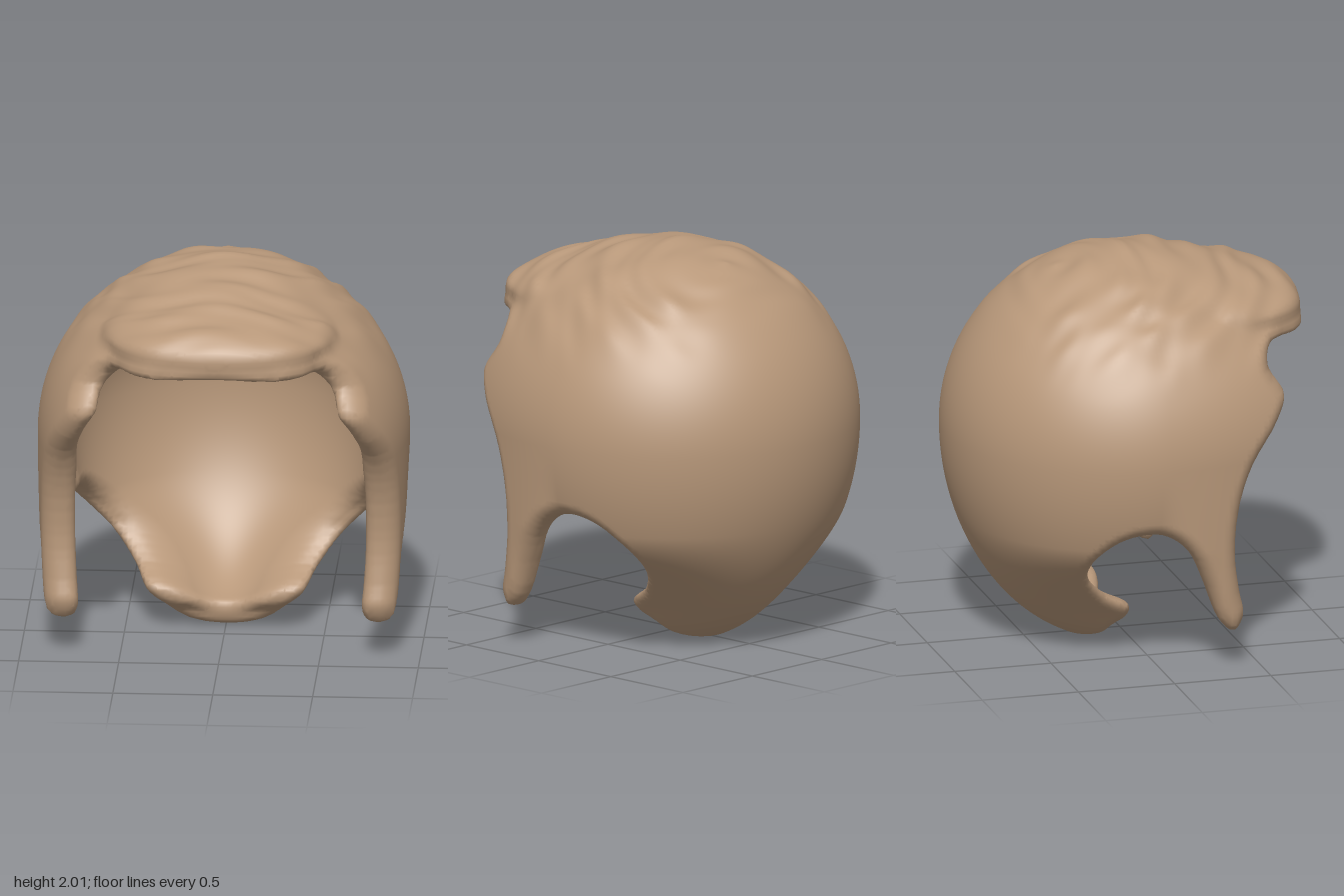
import * as THREE from 'three';

const C = new THREE.Vector3(0, 1.08, 0); // centre of the head
const WALL = 0.17, ROUND = 0.07;
const smooth = THREE.MathUtils.smoothstep, mix = THREE.MathUtils.lerp;

// Side outline (z, y): fringe, temple, sideburn, ear arch, nape, then wide around the back
const outline = new THREE.CatmullRomCurve3([
  [0.91, 1.7], [0.86, 1.6], [0.62, 1.585], [0.585, 1.5], [0.66, 1.36], [0.6, 1.24], [0.46, 1.06],
  [0.38, 0.85], [0.355, 0.6], [0.38, 0.4], [0.405, 0.27], [0.35, 0.19], [0.28, 0.25], [0.2, 0.45],
  [0.12, 0.62], [0.02, 0.71], [-0.1, 0.73], [-0.23, 0.69], [-0.33, 0.58], [-0.335, 0.46],
  [-0.22, 0.32], [-0.06, 0.22], [-0.06, 0.15], [-0.11, 0.09], [-0.14, 0.02], [-0.24, -0.04],
  [-0.5, -0.1], [-1.2, -0.1], [-1.2, 1], [-1.2, 2.2], [0, 2.2], [0.6, 2.1], [0.84, 1.87],
].map(([z, y]) => new THREE.Vector3(z, y, 0)), true, 'centripetal').getPoints(120);

// Signed distance to the side outline, negative inside
function outlineDistance(z, y) {
  let best = Infinity, inside = false;
  for (let i = 0; i < outline.length - 1; i++) {
    const a = outline[i], b = outline[i + 1];
    const ex = b.x - a.x, ey = b.y - a.y, px = z - a.x, py = y - a.y;
    const t = Math.min(1, Math.max(0, (px * ex + py * ey) / (ex * ex + ey * ey || 1)));
    best = Math.min(best, (px - t * ex) ** 2 + (py - t * ey) ** 2);
    if ((a.y > y) !== (b.y > y) && z < a.x + ex * (y - a.y) / ey) inside = !inside;
  }
  return (inside ? -1 : 1) * Math.sqrt(best);
}

function ellipsoid(x, y, z, rx, ry, rz) {
  const k = Math.hypot(x / rx, y / ry, z / rz);
  const g = Math.hypot(x / rx ** 2, y / ry ** 2, z / rz ** 2);
  return g < 1e-6 ? -Math.min(rx, ry, rz) : k * (k - 1) / g;
}

function smoothMin(a, b, k) {
  const h = Math.max(k - Math.abs(a - b), 0) / k;
  return Math.min(a, b) - h * h * k / 4;
}

// Soft broken locks: rings round the crown that loosen into rows above the fringe
function locks(x, y, z) {
  const r = Math.hypot(x, z + 0.35);
  const rows = Math.sin(33 * r + 1.5 * Math.cos(8 * x) + 1.2) * (0.6 + 0.4 * Math.cos(9 * x + 5 * Math.sin(6 * z)));
  const lumps = Math.cos(13 * x) * Math.sin(15 * z + 1.3);
  return (0.01 * rows + 0.007 * lumps) * smooth(y, 1.4, 1.85) * smooth(z, -0.8, -0.3);
}

// Hollow cap with a solid fringe and rounded edges
function hair(x, y, z) {
  const h = y - C.y, front = smooth(z, -0.05, 0.3);
  const low = mix(1.13, 5, front);
  const rx = 0.93 * (1 - 0.32 * (1 - smooth(y, 0.13, 0.65)) * (1 - front));
  const temple = front * smooth(y, 0.95, 1.4);
  const wave = locks(x, y, z);
  const outer = ellipsoid(x, h, z, rx, h > 0 ? 0.91 : low, z > 0 ? 1.2 : 0.91) - wave;
  const inner = ellipsoid(x, h, z, rx - mix(WALL, 0.12, temple),
    h > 0 ? mix(0.74, 0.78, temple) : low - WALL, z > 0 ? 1.08 : 0.74);
  const fringe = ellipsoid(x, y - 1.71, z - 0.48, 0.56, 0.15, 0.43) - wave;
  const shell = smoothMin(Math.max(outer, -inner), fringe, 0.06);
  if (shell > 0.12) return shell;
  const a = shell + ROUND, b = outlineDistance(z, y) + ROUND;
  return Math.min(Math.max(a, b), 0) + Math.hypot(Math.max(a, 0), Math.max(b, 0)) - ROUND;
}

function gradient(p) {
  const e = 0.006;
  return new THREE.Vector3(
    hair(p.x + e, p.y, p.z) - hair(p.x - e, p.y, p.z),
    hair(p.x, p.y + e, p.z) - hair(p.x, p.y - e, p.z),
    hair(p.x, p.y, p.z + e) - hair(p.x, p.y, p.z - e)).divideScalar(2 * e);
}

// Wraps a smooth skin of quads around the zero level of the hair field
function skin(min, n, step) {
  const stride = [1, n, n * n], values = new Float32Array(n ** 3);
  const at = (i, j, k) => i + j * n + k * n * n;
  for (let k = 0; k < n; k++) for (let j = 0; j < n; j++) for (let i = 0; i < n; i++) {
    values[at(i, j, k)] = hair(min.x + i * step, min.y + j * step, min.z + k * step);
  }
  const ids = new Int32Array(n ** 3).fill(-1), positions = [], normals = [], index = [];
  // One vertex for each cell the surface crosses
  for (let k = 0; k < n - 1; k++) for (let j = 0; j < n - 1; j++) for (let i = 0; i < n - 1; i++) {
    const base = at(i, j, k), sum = new THREE.Vector3();
    let count = 0;
    for (let c = 0; c < 8; c++) for (let a = 0; a < 3; a++) {
      if (c & (1 << a)) continue;
      const o = [c & 1, (c >> 1) & 1, c >> 2];
      const s = base + o[0] + o[1] * stride[1] + o[2] * stride[2];
      const v = values[s], w = values[s + stride[a]];
      if ((v < 0) === (w < 0)) continue;
      o[a] += v / (v - w);
      sum.x += o[0]; sum.y += o[1]; sum.z += o[2];
      count++;
    }
    if (!count) continue;
    const p = sum.divideScalar(count).add(new THREE.Vector3(i, j, k)).multiplyScalar(step).add(min);
    for (let r = 0; r < 2; r++) {
      const g = gradient(p), d = hair(p.x, p.y, p.z) / Math.max(g.lengthSq(), 0.3);
      p.addScaledVector(g, -THREE.MathUtils.clamp(d, -step / 3, step / 3));
    }
    ids[base] = positions.length / 3;
    positions.push(p.x, p.y, p.z);
    normals.push(...gradient(p).normalize().toArray());
  }
  // One quad for each grid edge the surface crosses
  for (let s = stride[2] + n + 1; s < n ** 3 - stride[2]; s++) for (let a = 0; a < 3; a++) {
    const v = values[s], w = values[s + stride[a]];
    if ((v < 0) === (w < 0)) continue;
    const b = stride[(a + 1) % 3], c = stride[(a + 2) % 3];
    const q = [ids[s - b - c], ids[s - c], ids[s], ids[s - b]];
    if (q.includes(-1)) continue;
    if (v >= 0) q.reverse();
    index.push(q[0], q[1], q[2], q[0], q[2], q[3]);
  }
  const geometry = new THREE.BufferGeometry();
  geometry.setAttribute('position', new THREE.Float32BufferAttribute(positions, 3));
  geometry.setAttribute('normal', new THREE.Float32BufferAttribute(normals, 3));
  geometry.setIndex(index);
  return geometry;
}

export function createModel() {
  const group = new THREE.Group();
  group.name = 'wig';
  const geometry = skin(new THREE.Vector3(-1.06, -0.06, -1.06), 86, 0.025);
  // Stand on the ground, centred front to back
  geometry.computeBoundingBox();
  const box = geometry.boundingBox;
  geometry.translate(0, -box.min.y, -(box.min.z + box.max.z) / 2);
  const mesh = new THREE.Mesh(geometry, new THREE.MeshStandardMaterial({ color: 0xb8987a }));
  mesh.name = 'hair';
  group.add(mesh);
  return group;
}
